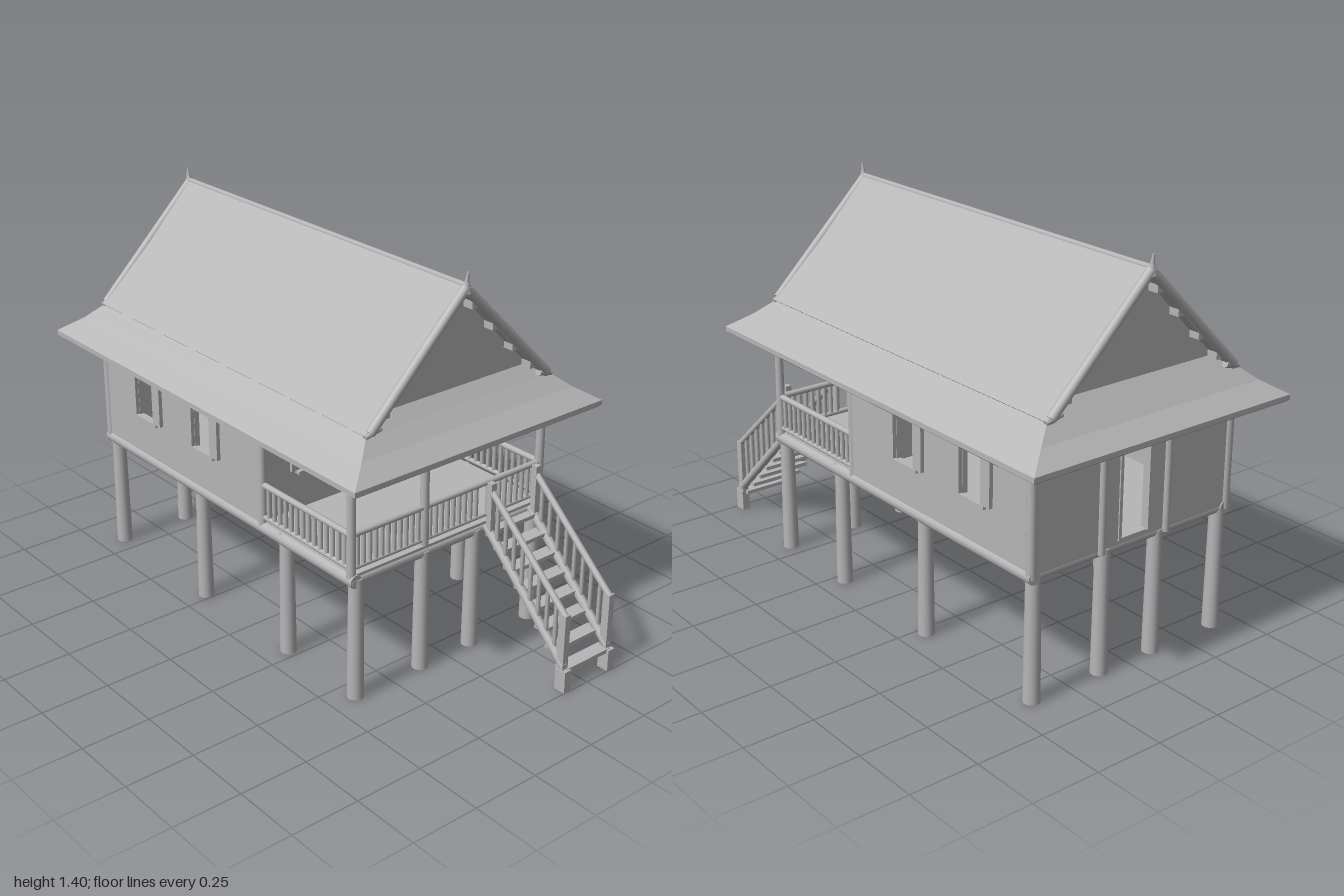
import * as THREE from 'three';

export function createModel() {
  const model = new THREE.Group();
  model.name = 'stiltHouse';
  const grey = new THREE.MeshStandardMaterial({ color: 0xb6b6b6, side: THREE.DoubleSide });
  grey.name = 'plain grey';

  const group = (name) => {
    const g = new THREE.Group();
    g.name = name;
    model.add(g);
    return g;
  };
  const add = (parent, name, geometry) => {
    const m = new THREE.Mesh(geometry, grey);
    m.name = name;
    parent.add(m);
    return m;
  };
  const box = (parent, name, w, h, d, x, y, z) => {
    const m = add(parent, name, new THREE.BoxGeometry(w, h, d));
    m.position.set(x, y, z);
    return m;
  };
  // Round bar between two points
  const bar = (parent, name, a, b, r, rEnd = r, sides = 10) => {
    const p = new THREE.Vector3(...a), q = new THREE.Vector3(...b);
    const dir = q.clone().sub(p);
    const m = add(parent, name, new THREE.CylinderGeometry(rEnd, r, dir.length(), sides));
    m.position.copy(p).add(q).multiplyScalar(0.5);
    m.quaternion.setFromUnitVectors(new THREE.Vector3(0, 1, 0), dir.normalize());
    return m;
  };

  // Stilts: four in the front and back rows, two in the middle rows
  const stilts = group('stilts');
  const rows = [[0.57, [-0.4, -0.115, 0.115, 0.4]], [0.21, [-0.4, 0.4]],
    [-0.28, [-0.4, 0.4]], [-0.83, [-0.4, -0.115, 0.115, 0.4]]];
  for (const [z, xs] of rows)
    for (const x of xs) bar(stilts, 'stilt', [x, 0, z], [x, 0.45, z], 0.029, 0.025, 16);

  // Floor and the beams around and below it
  const floor = group('floor');
  box(floor, 'floorBoards', 0.84, 0.02, 1.43, 0, 0.46, -0.13);
  for (const [z] of rows) bar(floor, 'crossBeam', [-0.43, 0.445, z], [0.43, 0.445, z], 0.022);
  for (const x of [-0.415, 0.415]) bar(floor, 'edgeBeam', [x, 0.445, 0.59], [x, 0.445, -0.855], 0.024);
  for (const x of [-0.115, 0.115]) bar(floor, 'joist', [x, 0.445, 0.57], [x, 0.445, -0.83], 0.013);

  // Walls with rectangular openings [u0, v0, u1, v1]
  const walls = group('walls');
  const rect = (C, u0, v0, u1, v1) => {
    const s = new C();
    s.moveTo(u0, v0); s.lineTo(u1, v0); s.lineTo(u1, v1); s.lineTo(u0, v1); s.closePath();
    return s;
  };
  const wall = (name, outline, holes) => {
    const s = rect(THREE.Shape, ...outline);
    for (const h of holes) s.holes.push(rect(THREE.Path, ...h));
    return add(walls, name, new THREE.ExtrudeGeometry(s, { depth: 0.02, bevelEnabled: false }));
  };
  const door = [-0.06, 0.47, 0.06, 0.79];
  wall('frontWall', [-0.425, 0.44, 0.425, 0.88], [door]).position.z = 0.09;
  wall('backWall', [-0.425, 0.44, 0.425, 0.88], [door]).position.z = -0.85;
  const windows = [-0.218, -0.57];
  for (const s of [-1, 1]) {
    // Wall u runs along -z after the turn
    const w = wall('sideWall', [-0.11, 0.44, 0.85, 0.88],
      windows.map((z) => [-z - 0.052, 0.61, -z + 0.052, 0.79]));
    w.rotation.y = Math.PI / 2;
    w.position.x = s > 0 ? 0.41 : -0.43;
    for (const z of windows) {
      // Open shutters, sill and head
      for (const k of [-1, 1]) box(walls, 'shutter', 0.014, 0.17, 0.045, s * 0.437, 0.7, z + k * 0.076);
      for (const y of [0.606, 0.794]) box(walls, 'windowRail', 0.026, 0.012, 0.13, s * 0.428, y, z);
    }
    // Corner and back wall uprights
    bar(walls, 'cornerUpright', [s * 0.42, 0.44, -0.842], [s * 0.42, 0.88, -0.842], 0.018);
    bar(walls, 'backUpright', [s * 0.14, 0.44, -0.85], [s * 0.14, 0.88, -0.85], 0.014);
    bar(walls, 'frontUpright', [s * 0.42, 0.44, 0.105], [s * 0.42, 0.88, 0.105], 0.016);
    // Closed front windows
    box(walls, 'frontShutter', 0.12, 0.16, 0.01, s * 0.245, 0.7, 0.114);
    box(walls, 'frontSill', 0.13, 0.012, 0.03, s * 0.22, 0.615, 0.12);
    // Door jambs
    for (const z of [0.1, -0.84]) box(walls, 'doorJamb', 0.012, 0.33, 0.03, s * 0.063, 0.63, z);
  }
  box(walls, 'ceiling', 0.84, 0.01, 0.95, 0, 0.87, -0.37);

  // Veranda posts, roof plates and railings
  const veranda = group('veranda');
  for (const x of [-0.42, -0.11, 0.42]) bar(veranda, 'verandaPost', [x, 0.44, 0.57], [x, 0.9, 0.57], 0.017, 0.014);
  bar(veranda, 'frontPlate', [-0.42, 0.86, 0.57], [0.42, 0.86, 0.57], 0.016);
  for (const x of [-0.42, 0.42]) bar(veranda, 'sidePlate', [x, 0.86, 0.57], [x, 0.86, 0.1], 0.016);
  const railing = (a, b, n) => {
    const at = (t, y) => [a[0] + (b[0] - a[0]) * t, y, a[1] + (b[1] - a[1]) * t];
    bar(veranda, 'handRail', at(0, 0.607), at(1, 0.607), 0.011);
    bar(veranda, 'lowerRail', at(0, 0.487), at(1, 0.487), 0.009);
    for (let i = 1; i < n; i++) bar(veranda, 'baluster', at(i / n, 0.485), at(i / n, 0.607), 0.008, 0.008, 6);
  };
  railing([-0.42, 0.57], [-0.11, 0.57], 12);
  railing([-0.11, 0.57], [0.15, 0.57], 10);
  railing([0.15, 0.57], [0.42, 0.57], 10);
  for (const x of [-0.42, 0.42]) railing([x, 0.57], [x, 0.11], 15);

  // Stairs with stringers, treads and sloping rails
  const stairs = group('stairs');
  for (const x of [0.155, 0.365]) {
    bar(stairs, 'stringer', [x, 0.46, 0.59], [x, 0.09, 0.975], 0.016);
    bar(stairs, 'stairRail', [x, 0.6, 0.605], [x, 0.275, 0.975], 0.012);
    box(stairs, 'topNewel', 0.022, 0.2, 0.022, x, 0.525, 0.612);
    box(stairs, 'bottomNewel', 0.024, 0.28, 0.03, x, 0.145, 0.969);
    box(stairs, 'newelFoot', 0.03, 0.08, 0.045, x, 0.04, 0.977);
    for (let i = 1; i < 9; i++) {
      const t = i / 9, z = 0.605 + 0.365 * t;
      bar(stairs, 'stairBaluster', [x, 0.445 - 0.35 * t, z], [x, 0.6 - 0.325 * t, z], 0.008, 0.008, 6);
    }
  }
  for (let i = 0; i < 8; i++) box(stairs, 'tread', 0.21, 0.014, 0.05, 0.26, 0.075 + i * 0.052, 0.965 - i * 0.052);

  // Flared lower roof: rectangular loops [half width, front z, back z, y]
  const roof = group('roof');
  const loops = [[0.53, 0.72, -0.98, 0.832], [0.54, 0.73, -0.99, 0.84], [0.54, 0.73, -0.99, 0.858],
    [0.46, 0.665, -0.925, 0.908], [0.4, 0.615, -0.88, 0.957], [0.36, 0.575, -0.84, 1.0],
    [0.35, 0.565, -0.83, 0.975], [0.4, 0.61, -0.875, 0.93], [0.46, 0.66, -0.92, 0.88], [0.53, 0.72, -0.98, 0.832]];
  const corners = ([w, f, b, y]) => [[w, y, f], [w, y, b], [-w, y, b], [-w, y, f]];
  const pos = [];
  for (let i = 0; i + 1 < loops.length; i++) {
    const lo = corners(loops[i]), hi = corners(loops[i + 1]);
    for (let k = 0; k < 4; k++) {
      const n = (k + 1) % 4;
      pos.push(...lo[k], ...lo[n], ...hi[n], ...lo[k], ...hi[n], ...hi[k]);
    }
  }
  const skirt = new THREE.BufferGeometry();
  skirt.setAttribute('position', new THREE.Float32BufferAttribute(pos, 3));
  skirt.computeVertexNormals();
  add(roof, 'lowerRoof', skirt);

  // Steep upper roof
  const chevron = new THREE.Shape([[0, 1.365], [-0.2, 1.157], [-0.405, 0.962], [-0.385, 0.945], [-0.19, 1.132],
    [0, 1.33], [0.19, 1.132], [0.385, 0.945], [0.405, 0.962], [0.2, 1.157]].map(([x, y]) => new THREE.Vector2(x, y)));
  add(roof, 'upperRoof', new THREE.ExtrudeGeometry(chevron, { depth: 1.5, bevelEnabled: false })).position.z = -0.885;
  bar(roof, 'ridge', [0, 1.356, 0.62], [0, 1.356, -0.89], 0.01);

  // Gables with rake boards, purlin ends and finials
  const triangle = new THREE.Shape([[-0.37, 0.98], [0.37, 0.98], [0, 1.35]].map(([x, y]) => new THREE.Vector2(x, y)));
  for (const [zWall, zEdge, out] of [[0.57, 0.615, 1], [-0.835, -0.88, -1]]) {
    add(roof, 'gable', new THREE.ExtrudeGeometry(triangle, { depth: 0.01, bevelEnabled: false })).position.z = zWall - 0.005;
    for (const s of [-1, 1]) {
      bar(roof, 'rakeBoard', [0, 1.348, zEdge], [s * 0.385, 0.965, zEdge], 0.017);
      bar(roof, 'rakeTip', [s * 0.345, 0.975, zEdge], [s * 0.405, 0.957, zEdge], 0.013, 0.009);
      for (const t of [0.12, 0.38, 0.64, 0.88])
        box(roof, 'purlinEnd', 0.025, 0.025, 0.05, s * 0.36 * t, 1.325 - 0.36 * t, zEdge - out * 0.025);
    }
    bar(roof, 'finialBase', [0, 1.335, zEdge], [0, 1.37, zEdge + out * 0.004], 0.02, 0.008);
    bar(roof, 'finialTip', [0, 1.368, zEdge + out * 0.004], [0, 1.402, zEdge + out * 0.008], 0.008, 0.003);
  }
  return model;
}
